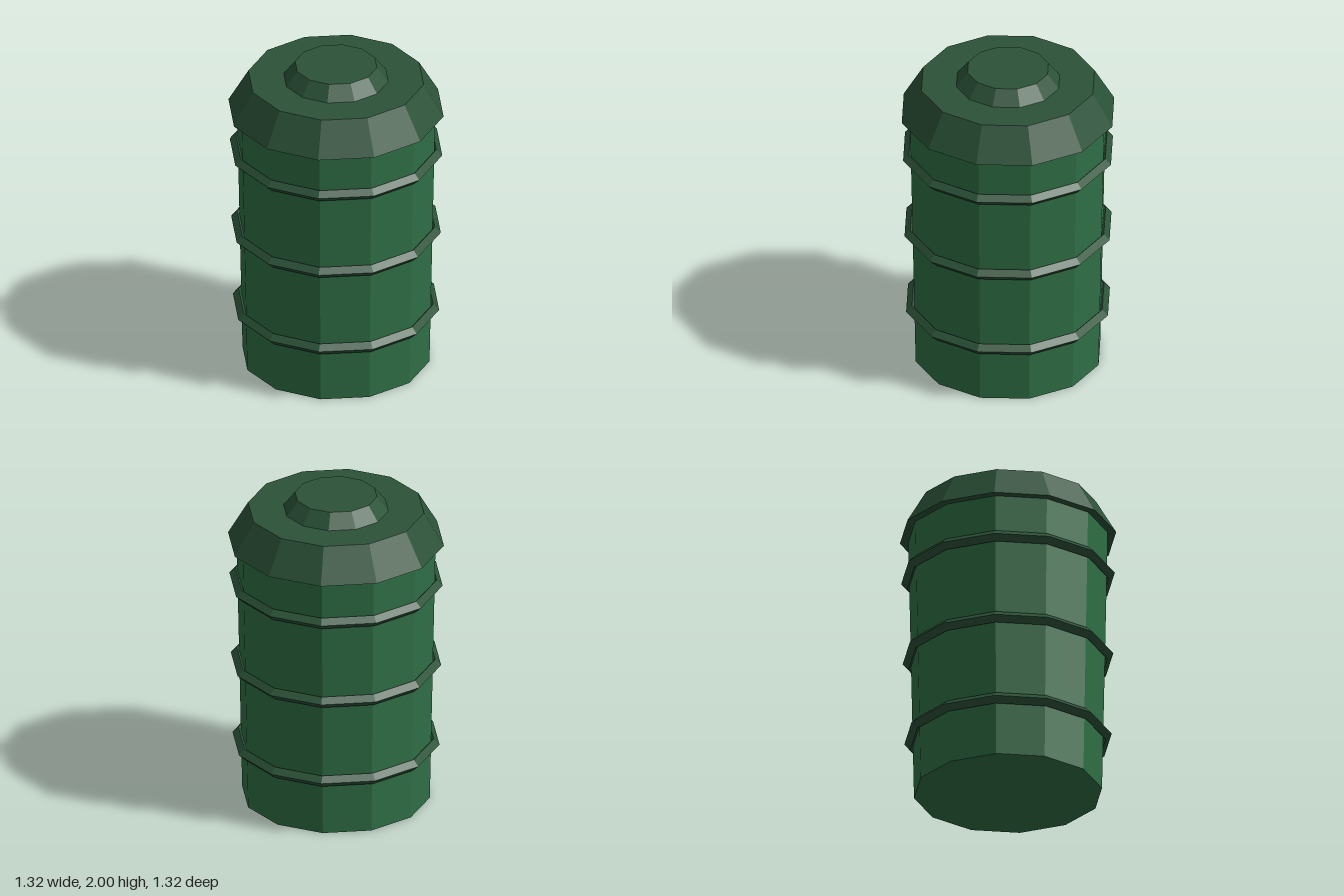
import * as THREE from 'three';

const SIDES = 12;

export function createModel() {
  const group = new THREE.Group();
  const bodyMat = new THREE.MeshStandardMaterial({ color: 0x2f6f45, flatShading: true });
  const trimMat = new THREE.MeshStandardMaterial({ color: 0x2b5238, flatShading: true });

  const add = (name, geometry, material, y) => {
    const mesh = new THREE.Mesh(geometry, material);
    mesh.name = name;
    mesh.position.y = y;
    group.add(mesh);
  };

  // Faceted frustum standing between two heights
  const frustum = (name, material, y0, y1, rBottom, rTop) =>
    add(name, new THREE.CylinderGeometry(rTop, rBottom, y1 - y0, SIDES), material, (y0 + y1) / 2);

  // Slightly flared barrel
  frustum('body', bodyMat, 0, 1.7, 0.572, 0.607);

  // Sloped lid with a raised cap
  frustum('lid', trimMat, 1.7, 1.91, 0.658, 0.536);
  frustum('lidCap', trimMat, 1.91, 2, 0.32, 0.25);

  // Diamond-section hoops around the barrel
  [[0.36, 0.595], [0.895, 0.605], [1.43, 0.614]].forEach(([y, radius], i) => {
    const hoop = new THREE.TorusGeometry(radius, 0.036, 4, SIDES).rotateX(Math.PI / 2);
    add(`hoop${i + 1}`, hoop, trimMat, y);
  });

  return group;
}
